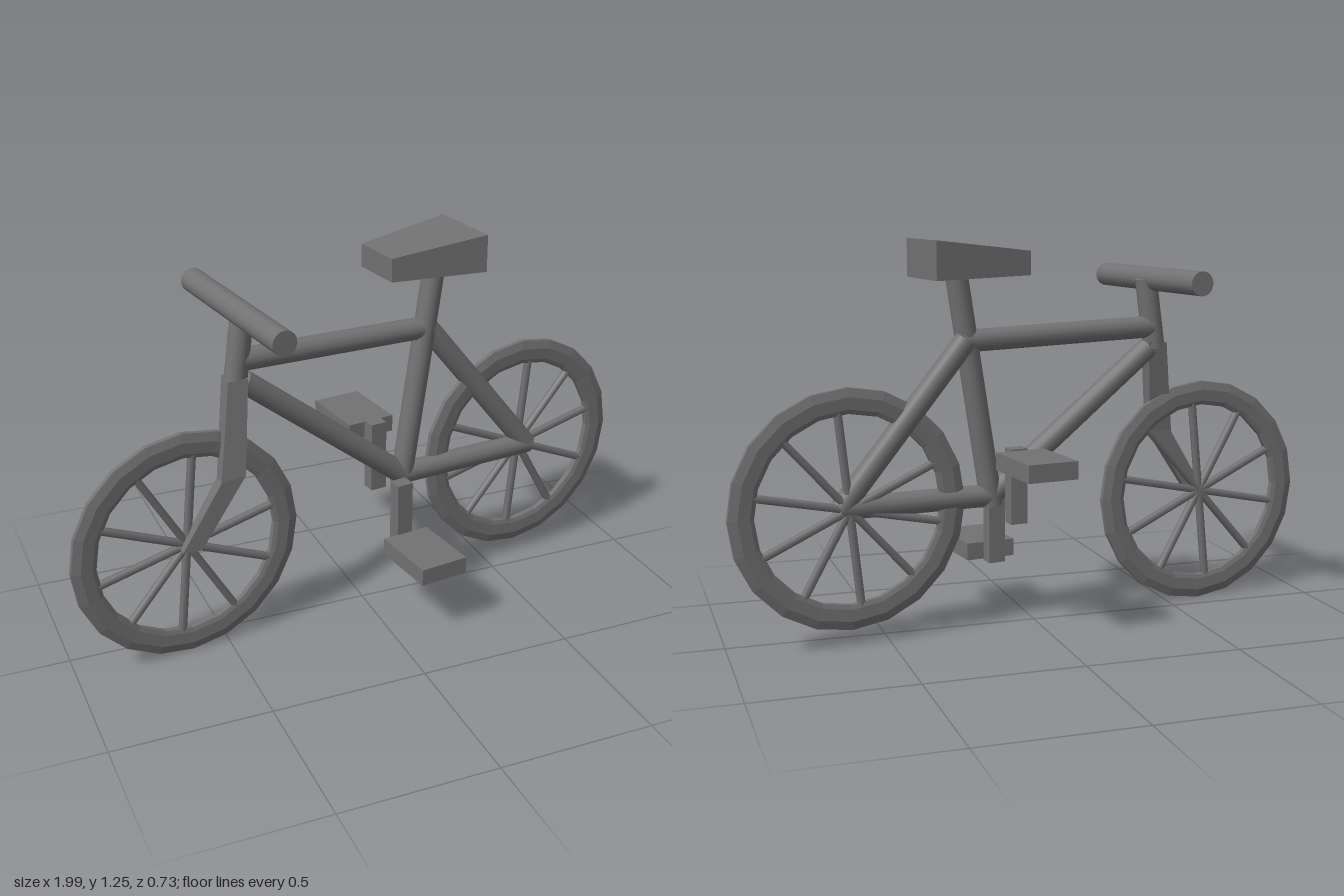
import * as THREE from 'three';

const smooth = new THREE.MeshStandardMaterial({ color: 0x727272 });
const flat = new THREE.MeshStandardMaterial({ color: 0x727272, flatShading: true });
const YAW = 0.128; // the bicycle stands slightly turned

function add(parent, name, geometry, material = flat) {
  const mesh = new THREE.Mesh(geometry, material);
  mesh.name = name;
  parent.add(mesh);
  return mesh;
}

// Round bar between two points
function bar(parent, name, a, b, radius = 0.036, sides = 16) {
  const p = new THREE.Vector3(...a), q = new THREE.Vector3(...b);
  const dir = q.clone().sub(p);
  const mesh = add(parent, name, new THREE.CylinderGeometry(radius, radius, dir.length(), sides), smooth);
  mesh.position.copy(p).add(q).multiplyScalar(0.5);
  mesh.quaternion.setFromUnitVectors(new THREE.Vector3(0, 1, 0), dir.normalize());
}

// Thin bevelled rim with ten spokes
function wheel(parent, name, x, y, z) {
  const group = new THREE.Group();
  group.name = name;
  const profile = [
    [0.298, -0.009], [0.312, -0.014], [0.35, -0.016], [0.378, -0.008],
    [0.378, 0.008], [0.35, 0.016], [0.312, 0.014], [0.298, 0.009], [0.298, -0.009],
  ].map(([r, h]) => new THREE.Vector2(r, h));
  const rim = add(group, 'rim', new THREE.LatheGeometry(profile, 20));
  rim.rotation.x = Math.PI / 2;
  for (let i = 0; i < 10; i++) {
    const t = THREE.MathUtils.degToRad(84 + i * 36);
    bar(group, 'spoke', [0, 0, 0], [0.305 * Math.cos(t), 0.305 * Math.sin(t), 0], 0.0135, 6);
  }
  group.position.set(x, y, z);
  group.rotation.y = YAW;
  parent.add(group);
}

// Single-sided fork: a flat bent blade that leans outward past the wheel
function fork(parent) {
  const outline = [
    [-0.468, 0.9], [-0.513, 0.59], [-0.645, 0.375], [-0.585, 0.372], [-0.436, 0.6], [-0.405, 0.9],
  ].map(([x, y]) => new THREE.Vector2(x, y));
  const geo = new THREE.ExtrudeGeometry(new THREE.Shape(outline), { depth: 1, bevelEnabled: false });
  const pos = geo.attributes.position;
  for (let i = 0; i < pos.count; i++) {
    const y = pos.getY(i), side = pos.getZ(i) - 0.5;
    const centre = y > 0.8 ? 0.052 : y > 0.5 ? 0.098 : 0.105;
    const thickness = y > 0.8 ? 0.066 : y > 0.5 ? 0.05 : 0.034;
    pos.setZ(i, centre + side * thickness);
  }
  geo.computeVertexNormals();
  add(parent, 'fork', geo);
}

// Crank arm with its block pedal; side is +1 for the near side, -1 for the far side
function crank(parent, side) {
  const group = new THREE.Group();
  group.name = side > 0 ? 'nearCrank' : 'farCrank';
  const arm = add(group, 'crankArm', new THREE.BoxGeometry(0.056, 0.24, 0.048));
  arm.position.set(0.004 * side, -0.08 * side, 0.078 * side);
  const pedal = add(group, 'pedal', new THREE.BoxGeometry(0.165, 0.056, 0.237));
  pedal.position.set(0.007 * side, -0.167 * side, 0.219 * side);
  group.position.set(0.105, 0.396, -0.024);
  group.rotation.y = YAW;
  parent.add(group);
}

// Wedge saddle: a box whose corners move to a narrow low nose and a wide high tail
function saddle(parent) {
  const geo = new THREE.BoxGeometry(1, 1, 1);
  const pos = geo.attributes.position;
  for (let i = 0; i < pos.count; i++) {
    const tail = pos.getX(i) > 0, top = pos.getY(i) > 0, near = pos.getZ(i) > 0;
    const x = tail ? (near ? 0.393 : 0.364) : (near ? 0.068 : 0.045);
    const y = tail ? (top ? 1.247 : 1.127) : (top ? 1.21 : 1.135);
    const z = near ? 0.072 : (tail ? -0.188 : -0.108);
    pos.setXYZ(i, x, y, z);
  }
  geo.computeVertexNormals();
  add(parent, 'saddle', geo);
}

export function createModel() {
  const bike = new THREE.Group();
  bike.name = 'bicycle';

  wheel(bike, 'frontWheel', -0.62, 0.38, 0.078);
  wheel(bike, 'rearWheel', 0.62, 0.43, -0.085);

  // Frame
  bar(bike, 'topTube', [-0.42, 0.95, 0.047], [0.25, 0.93, -0.036]);
  bar(bike, 'downTube', [-0.41, 0.88, 0.045], [0.15, 0.432, -0.018]);
  bar(bike, 'seatTube', [0.148, 0.4, -0.018], [0.265, 1.15, -0.035]);
  bar(bike, 'chainStay', [0.15, 0.432, -0.018], [0.65, 0.432, -0.068]);
  bar(bike, 'seatStay', [0.24, 0.935, -0.054], [0.645, 0.43, -0.068]);

  // Steering
  bar(bike, 'stem', [-0.435, 0.88, 0.05], [-0.402, 1.11, 0.045]);
  bar(bike, 'handlebar', [-0.46, 1.108, -0.27], [-0.384, 1.108, 0.36], 0.039);
  fork(bike);

  crank(bike, 1);
  crank(bike, -1);
  saddle(bike);
  return bike;
}
